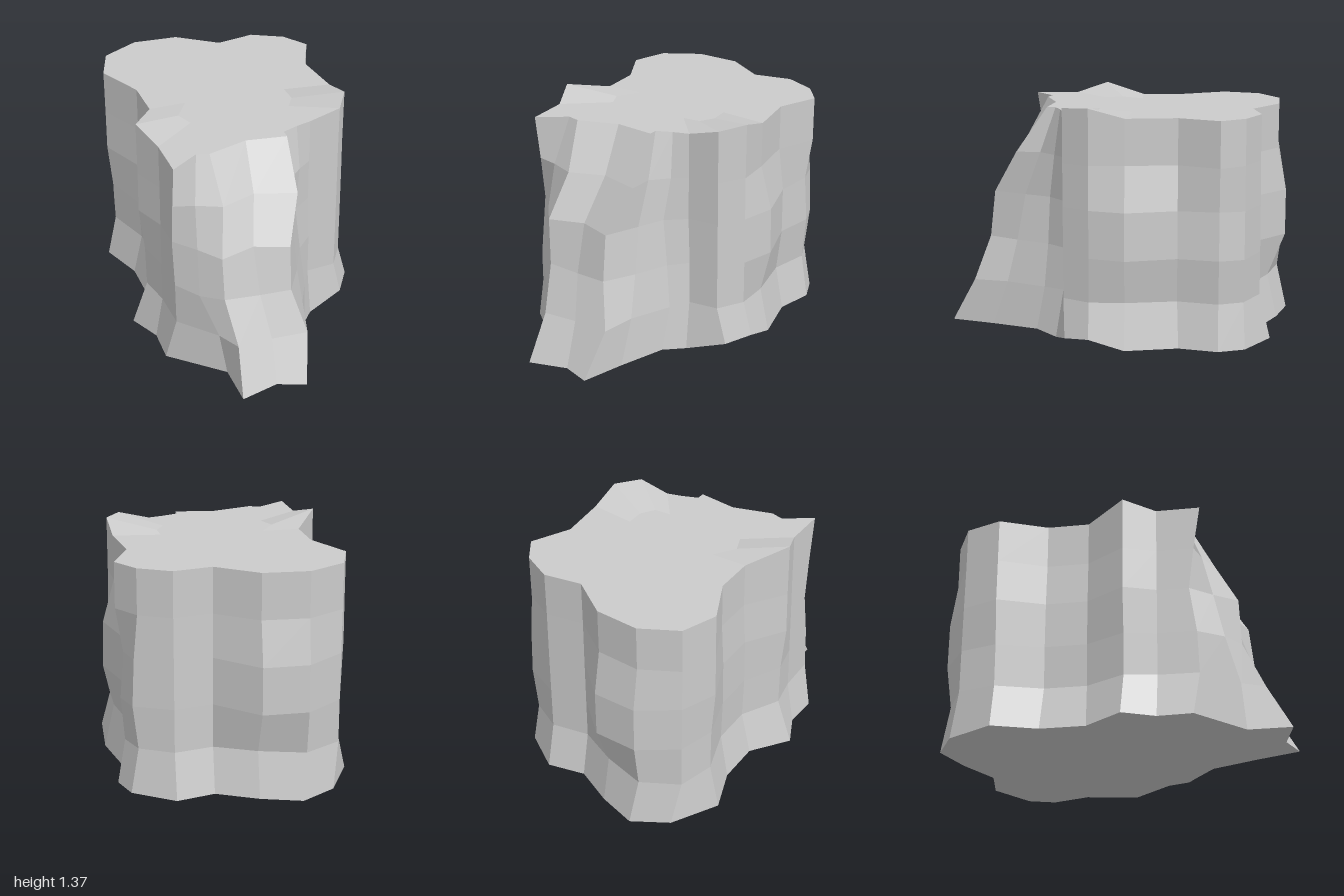
import * as THREE from 'three';

// heights of the stump's rings, bottom to top
const LEVELS = [0.02, 0.28, 0.53, 0.8, 1.05, 1.31];

// front root columns: x, z at each level, bottom to top
const ROOT = [
  [-0.59, 0.5, -0.53, 0.53, -0.53, 0.52, -0.53, 0.48, -0.53, 0.51, -0.53, 0.55],
  [-0.3, 0.75, -0.34, 0.73, -0.43, 0.66, -0.42, 0.6, -0.41, 0.54, -0.37, 0.44],
  [-0.29, 1, -0.27, 0.86, -0.31, 0.74, -0.32, 0.73, -0.27, 0.6, -0.3, 0.46],
  [-0.07, 0.94, -0.07, 0.85, -0.11, 0.76, -0.12, 0.67, -0.07, 0.53, -0.07, 0.39],
  [0.09, 1, 0.14, 0.86, 0.07, 0.77, 0.07, 0.74, 0.16, 0.6, 0.16, 0.42],
  [0.17, 0.75, 0.18, 0.66, 0.17, 0.6, 0.16, 0.55, 0.17, 0.46, 0.16, 0.37],
  [0.27, 0.48, 0.29, 0.43, 0.26, 0.41, 0.23, 0.4, 0.26, 0.37, 0.25, 0.335],
];

// trunk columns: bottom x, z, top x, z, outward bulge at the second to fourth level
const TRUNK = [
  [0.36, 0.36, 0.34, 0.31, 0.01, 0.01, 0],
  [0.58, 0.29, 0.52, 0.3, 0, 0, 0],
  [0.67, 0.15, 0.61, 0.15, 0, 0, 0],
  [0.675, -0.05, 0.6, -0.05, 0.01, 0.07, 0.065],
  [0.61, -0.35, 0.56, -0.34, 0, 0.03, 0.03],
  [0.665, -0.57, 0.66, -0.57, -0.04, -0.02, -0.04],
  [0.61, -0.72, 0.56, -0.71, 0, 0.03, 0.02],
  [0.38, -0.87, 0.38, -0.8, 0, 0, 0],
  [0.16, -0.82, 0.16, -0.76, 0, 0, 0],
  [-0.07, -0.93, -0.07, -0.92, -0.05, 0.05, 0.05],
  [-0.3, -1, -0.33, -0.935, 0, 0.035, 0.035],
  [-0.5, -0.88, -0.54, -0.82, 0, 0, 0],
  [-0.64, -0.61, -0.61, -0.61, -0.03, -0.025, 0],
  [-0.54, -0.36, -0.48, -0.35, 0, 0.01, 0.01],
  [-0.53, -0.1, -0.47, -0.11, 0, 0.01, 0.01],
  [-0.68, 0.12, -0.615, 0.12, -0.035, -0.03, 0],
  [-0.59, 0.3, -0.54, 0.3, 0, 0, 0],
];
const FLARE = [1, 0.1, 0.08, 0.05, 0, 0];

// uneven rim: column index -> [bottom y, top y]
const RIM = { 7: [0, 1.31], 8: [0.06, 1.355], 9: [0.08, 1.365], 22: [0.02, 1.365] };

function makeRing(level) {
  const y = LEVELS[level];
  const points = ROOT.map((c) => [c[level * 2], y, c[level * 2 + 1]]);
  for (const [bx, bz, tx, tz, ...bulge] of TRUNK) {
    const f = FLARE[level];
    const push = bulge[level - 1] ?? 0;
    const sideways = Math.abs(tx) > Math.abs(tz) - 0.2;
    const x = tx + (bx - tx) * f + (sideways ? Math.sign(tx) * push : 0);
    const z = tz + (bz - tz) * f + (sideways ? 0 : Math.sign(tz) * push);
    points.push([x, y, z]);
  }
  for (const [i, [low, high]] of Object.entries(RIM)) {
    if (level === 0) points[i][1] = low;
    if (level === LEVELS.length - 1) points[i][1] = high;
  }
  return points;
}

// ring pulled in toward the middle at one height
function shrink(ring, scale, y) {
  return ring.map(([x, , z]) => [x * scale, y, -0.12 + (z + 0.12) * scale]);
}

// skin stacked rings with quads, each quad shaded as one flat facet
function loft(name, rings, material) {
  const pos = [], normals = [];
  const v = (p) => new THREE.Vector3(...p);
  for (let r = 0; r < rings.length - 1; r++) {
    const n = rings[r].length;
    for (let i = 0; i < n; i++) {
      const j = (i + 1) % n;
      const a = rings[r][i], b = rings[r][j], c = rings[r + 1][j], d = rings[r + 1][i];
      pos.push(...a, ...b, ...c, ...a, ...c, ...d);
      const normal = v(c).sub(v(a)).cross(v(d).sub(v(b))).normalize();
      for (let k = 0; k < 6; k++) normals.push(normal.x, normal.y, normal.z);
    }
  }
  const geometry = new THREE.BufferGeometry();
  geometry.setAttribute('position', new THREE.Float32BufferAttribute(pos, 3));
  geometry.setAttribute('normal', new THREE.Float32BufferAttribute(normals, 3));
  const mesh = new THREE.Mesh(geometry, material);
  mesh.name = name;
  return mesh;
}

export function createModel() {
  const group = new THREE.Group();
  group.name = 'treeStump';
  const wood = new THREE.MeshStandardMaterial({ color: 0xcccccc });
  const rings = LEVELS.map((_, i) => makeRing(i));
  const bottom = rings[0], top = rings[rings.length - 1];

  // ridged sides with the front root
  group.add(loft('bark', rings, wood));
  // sawn top, flat inside its raised rim points
  group.add(loft('cutTop', [top, shrink(top, 0.55, 1.31), shrink(top, 0, 1.31)], wood));
  // underside
  group.add(loft('underside', [shrink(bottom, 0, 0.02), shrink(bottom, 0.6, 0.02), bottom], wood));
  return group;
}
